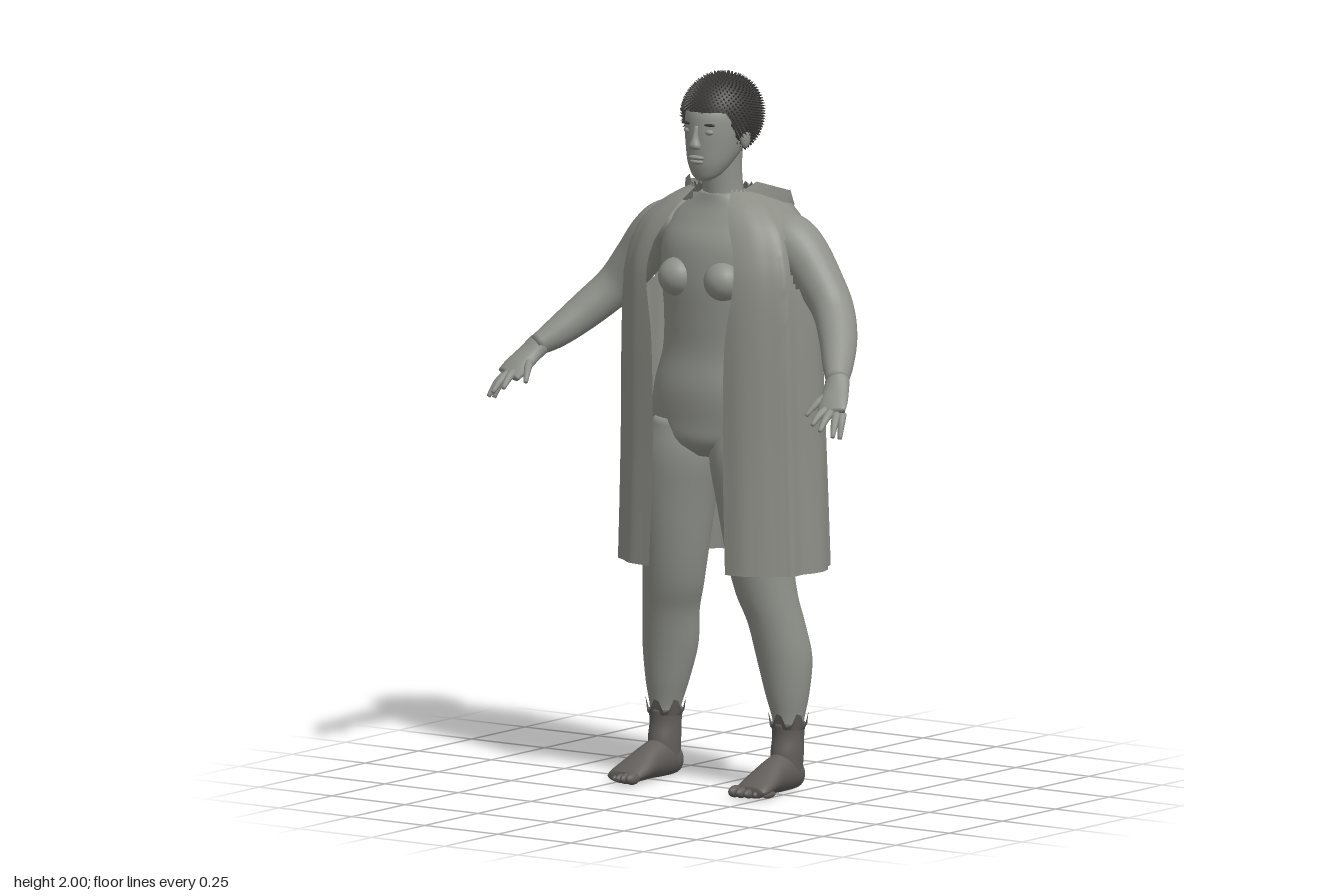
import * as THREE from 'three';
import { mergeGeometries } from 'three/addons/utils/BufferGeometryUtils.js';

const V3 = (x, y, z) => new THREE.Vector3(x, y, z);
const UP = V3(0, 1, 0), FRONT = V3(0, 0, 1);
const { lerp, smoothstep } = THREE.MathUtils;

const mat = (name, color, double) => {
  const m = new THREE.MeshStandardMaterial({ color });
  m.name = name;
  if (double) m.side = THREE.DoubleSide;
  return m;
};

// Two matching smooth curves through rows of numbers
const curves = rows => [0, 3].map(k => new THREE.CatmullRomCurve3(
  rows.map(r => V3(r[k], r[k + 1] ?? 0, r[k + 2] ?? 0)), false, 'catmullrom'));

function grid(points, index) {
  const g = new THREE.BufferGeometry();
  g.setAttribute('position', new THREE.Float32BufferAttribute(points, 3));
  g.setIndex(index);
  g.computeVertexNormals();
  return g;
}

// Closed skin over elliptical sections [x, y, z, radius across, radius along ref]
function loft(rows, { ref = FRONT, axis = null, n = 28, sub = 5 } = {}) {
  const [path, radii] = curves(rows), steps = (rows.length - 1) * sub;
  const pts = [], idx = [];
  for (let i = -1; i <= steps + 1; i++) {
    const t = Math.min(Math.max(i / steps, 0), 1);
    const c = path.getPoint(t), r = radii.getPoint(t);
    const T = axis ?? path.getTangent(t);
    const v = ref.clone().addScaledVector(T, -ref.dot(T)).normalize();
    const u = T.clone().cross(v);
    const k = i < 0 || i > steps ? 0.001 : 1;
    for (let j = 0; j < n; j++) {
      const a = j / n * Math.PI * 2;
      const p = c.clone().addScaledVector(u, k * r.x * Math.sin(a)).addScaledVector(v, k * r.y * Math.cos(a));
      pts.push(p.x, p.y, p.z);
    }
  }
  for (let i = 0; i < steps + 2; i++) for (let j = 0; j < n; j++) {
    const a = i * n + j, b = i * n + (j + 1) % n;
    idx.push(a, b, b + n, a, b + n, a + n);
  }
  return grid(pts, idx);
}

const flip = (rows, s) => rows.map(([x, ...rest]) => [x * s, ...rest]);
const ball = (x, y, z, rx, ry, rz, w = 16) =>
  new THREE.SphereGeometry(1, w, 12).scale(rx, ry, rz).translate(x, y, z);

// Draped cape, open at the front, with armholes and folds deepening to the hem
function capeGeometry() {
  // y, half width, half opening, front z, back z
  const [A, B] = curves([
    [0.62, 0.312, 0.13, 0.12, -0.25], [0.95, 0.303, 0.12, 0.115, -0.24], [1.25, 0.298, 0.125, 0.115, -0.225],
    [1.42, 0.29, 0.148, 0.11, -0.215], [1.51, 0.272, 0.14, 0.095, -0.21], [1.58, 0.24, 0.11, 0.07, -0.205],
    [1.63, 0.185, 0.085, 0.04, -0.2], [1.66, 0.135, 0.07, 0.01, -0.175], [1.675, 0.1, 0.06, -0.005, -0.14]]);
  const R = 64, C = 110, P = 0.75, pts = [], idx = [];
  for (let i = 0; i <= R; i++) {
    const a = A.getPoint(i / R), b = B.getPoint(i / R);
    const start = Math.asin(Math.pow(a.z / a.y, 1 / P));
    const depth = 0.012 * (1 - 0.8 * i / R);
    for (let j = 0; j <= C; j++) {
      const f = lerp(start, 2 * Math.PI - start, j / C);
      const s = Math.sin(f), c = Math.cos(f);
      const fold = 1 + depth / 0.25 * (Math.cos(11 * f) + 0.4 * Math.sin(17 * f + i * 0.03)) * (c < 0.4 ? 1 : 0.4);
      const mid = (b.x + b.y) / 2, rz = (b.x - b.y) / 2;
      const jag = i === R ? 0.008 * Math.sin(j * 1.7) : 0;
      pts.push(Math.sign(s) * Math.pow(Math.abs(s), P) * a.y * (1 + (fold - 1) * 0.4),
        a.x + jag, mid + Math.sign(c) * Math.pow(Math.abs(c), P) * rz * fold);
    }
  }
  const w = C + 1;
  for (let i = 0; i < R; i++) for (let j = 0; j < C; j++) {
    const a = i * w + j, [x, y, z] = pts.slice(a * 3, a * 3 + 3);
    const hole = Math.abs(x) > 0.17 && ((y - 1.49) / 0.12) ** 2 + ((z + 0.08) / 0.085) ** 2 < 1;
    if (!hole) idx.push(a, a + 1, a + w + 1, a, a + w + 1, a + w);
  }
  return grid(pts, idx);
}

// Rounded hair with a high front hairline, covered in short tufts
function hairGeometry() {
  const c = V3(0, 1.88, -0.057), r = V3(0.104, 0.112, 0.122);
  const limit = a => Math.acos((lerp(1.9, 1.785, smoothstep(Math.abs(a), 0.75, 1.35)) - c.y) / r.y);
  const at = (a, t) => V3(Math.sin(t) * Math.sin(a), Math.cos(t), Math.sin(t) * Math.cos(a));
  const pts = [], idx = [], N = 48, M = 16;
  for (let i = 0; i <= M; i++) for (let j = 0; j <= N; j++) {
    const a = (j / N * 2 - 1) * Math.PI;
    const p = at(a, limit(a) * (1 - i / M)).multiply(r).add(c);
    pts.push(p.x, p.y, p.z);
    if (i < M && j < N) {
      const k = i * (N + 1) + j;
      idx.push(k, k + 1, k + N + 2, k, k + N + 2, k + N + 1);
    }
  }
  const tufts = [];
  for (let i = 0; i < 1500; i++) {
    const t = Math.acos(1 - 2 * (i + 0.5) / 1500);
    const a = ((i * 2.39996) % (2 * Math.PI)) - Math.PI;
    if (t > limit(a)) continue;
    const d = at(a, t), p = d.clone().multiply(r).add(c);
    const cone = new THREE.ConeGeometry(0.0065, 0.02, 4);
    cone.deleteAttribute('uv');
    cone.applyQuaternion(new THREE.Quaternion().setFromUnitVectors(UP, d.add(V3(0, -0.25, 0)).normalize()));
    tufts.push(cone.translate(p.x, p.y, p.z));
  }
  return mergeGeometries([grid(pts, idx), ...tufts]);
}

export function createModel() {
  const model = new THREE.Group();
  model.name = 'figure';
  const skin = mat('skin grey', 0x8f918a), cloth = mat('cape grey', 0x8d8e86, true);
  const shoe = mat('foot dark grey', 0x625e5b, true), hair = mat('hair charcoal', 0x3b3937, true);
  const add = (name, geo, material) => {
    const m = new THREE.Mesh(geo, material);
    m.name = name;
    model.add(m);
    return m;
  };

  // Trunk, neck and head
  add('torso', loft([
    [0, 0.93, -0.035, 0.06, 0.07], [0, 0.97, -0.035, 0.17, 0.11], [0, 1.03, -0.04, 0.21, 0.12],
    [0, 1.12, -0.035, 0.2, 0.118], [0, 1.22, -0.04, 0.175, 0.108], [0, 1.32, -0.04, 0.17, 0.11],
    [0, 1.42, -0.045, 0.18, 0.118], [0, 1.52, -0.055, 0.187, 0.115], [0, 1.585, -0.065, 0.165, 0.092],
    [0, 1.63, -0.065, 0.115, 0.07], [0, 1.665, -0.062, 0.062, 0.058]], { axis: UP, n: 40 }), skin);
  add('neck', loft([[0, 1.6, -0.068, 0.065, 0.06], [0, 1.67, -0.06, 0.056, 0.057],
    [0, 1.73, -0.055, 0.054, 0.057], [0, 1.79, -0.055, 0.056, 0.06]], { axis: UP }), skin);
  add('head', loft([
    [0, 1.706, 0.032, 0.02, 0.018], [0, 1.722, 0.018, 0.042, 0.04], [0, 1.755, 0, 0.062, 0.066],
    [0, 1.8, -0.025, 0.077, 0.094], [0, 1.85, -0.037, 0.085, 0.106], [0, 1.9, -0.05, 0.086, 0.112],
    [0, 1.95, -0.057, 0.066, 0.08], [0, 1.975, -0.057, 0.03, 0.04]], { axis: UP, n: 36 }), skin);
  add('nose', loft([[0, 1.797, 0.072, 0.016, 0.01], [0, 1.808, 0.074, 0.018, 0.015],
    [0, 1.83, 0.07, 0.009, 0.012], [0, 1.862, 0.064, 0.007, 0.008]], { axis: UP, n: 14 }), skin);
  add('upperLip', ball(0, 1.773, 0.067, 0.026, 0.007, 0.011), skin);
  add('lowerLip', ball(0, 1.761, 0.065, 0.022, 0.007, 0.011), skin);
  add('hair', hairGeometry(), hair);
  add('cape', capeGeometry(), cloth);

  for (const s of [1, -1]) {
    const side = s > 0 ? 'left' : 'right';
    // Face details
    add(side + 'Eye', ball(s * 0.035, 1.845, 0.055, 0.015, 0.008, 0.01), skin);
    add(side + 'Eyebrow', ball(s * 0.036, 1.866, 0.057, 0.021, 0.004, 0.008), hair);
    add(side + 'Ear', ball(s * 0.087, 1.825, -0.045, 0.011, 0.032, 0.02), skin);
    add(side + 'Breast', ball(s * 0.078, 1.43, 0.045, 0.057, 0.055, 0.055, 24), skin);

    // Leg
    add(side + 'Leg', loft(flip([
      [0.21, 0.15, -0.076, 0.038, 0.042], [0.21, 0.2, -0.078, 0.043, 0.047], [0.205, 0.27, -0.08, 0.06, 0.063],
      [0.195, 0.37, -0.08, 0.076, 0.08], [0.18, 0.47, -0.062, 0.078, 0.082], [0.16, 0.55, -0.045, 0.086, 0.085],
      [0.145, 0.65, -0.035, 0.093, 0.093], [0.135, 0.8, -0.03, 0.11, 0.108], [0.115, 0.93, -0.03, 0.114, 0.115],
      [0.1, 1.03, -0.035, 0.09, 0.1]], s), { axis: UP }), skin);

    // Dark foot with toes and a ragged ankle edge
    add(side + 'Foot', loft(flip([
      [0.208, 0.035, -0.122, 0.022, 0.022], [0.208, 0.046, -0.105, 0.038, 0.044], [0.21, 0.055, -0.05, 0.042, 0.055],
      [0.212, 0.05, 0, 0.044, 0.049], [0.214, 0.036, 0.055, 0.052, 0.035], [0.217, 0.024, 0.1, 0.054, 0.023],
      [0.217, 0.02, 0.12, 0.048, 0.014]], s), { ref: UP, axis: FRONT }), shoe);
    add(side + 'Ankle', loft(flip([
      [0.209, 0.04, -0.072, 0.04, 0.048], [0.21, 0.1, -0.072, 0.043, 0.052],
      [0.21, 0.15, -0.077, 0.043, 0.047], [0.21, 0.19, -0.078, 0.046, 0.05]], s), { axis: UP }), shoe);
    for (let i = 0; i < 5; i++) {
      const r = 0.017 - 0.0018 * i;
      add(side + 'Toe', ball(s * (0.176 + i * 0.0215), r + 0.003, 0.124 - i * i * 0.0025, r * 0.85, r, 0.029), shoe);
    }
    const rag = new THREE.CylinderGeometry(0.056, 0.046, 0.045, 24, 1, true);
    const pos = rag.attributes.position;
    for (let i = 0; i < pos.count; i++)
      if (pos.getY(i) > 0) pos.setY(i, [0.025, 0.02, -0.012, -0.006][i % 4]);
    rag.computeVertexNormals();
    add(side + 'AnkleEdge', rag.translate(s * 0.21, 0.195, -0.078), shoe);

    // Arm bent forward at the elbow
    add(side + 'Arm', loft(flip([
      [0.13, 1.555, -0.075, 0.06, 0.07], [0.2, 1.545, -0.085, 0.074, 0.078], [0.25, 1.51, -0.086, 0.074, 0.075],
      [0.31, 1.44, -0.083, 0.066, 0.066], [0.37, 1.365, -0.068, 0.058, 0.06], [0.43, 1.295, -0.01, 0.052, 0.054],
      [0.48, 1.235, 0.06, 0.042, 0.043], [0.515, 1.2, 0.112, 0.029, 0.031]], s)), skin);

    // Hand with spread fingers
    const across = V3(1, 0, 0);
    add(side + 'Hand', loft(flip([
      [0.51, 1.207, 0.102, 0.03, 0.034], [0.525, 1.18, 0.13, 0.024, 0.038],
      [0.54, 1.15, 0.165, 0.02, 0.044], [0.553, 1.125, 0.192, 0.014, 0.042]], s), { ref: across, n: 18 }), skin);
    const fingers = [[0.577, 1.125, 0.172, 0.592, 1.06, 0.205], [0.568, 1.125, 0.186, 0.589, 1.068, 0.235],
      [0.553, 1.13, 0.192, 0.56, 1.085, 0.255], [0.535, 1.135, 0.19, 0.529, 1.098, 0.248],
      [0.512, 1.17, 0.145, 0.48, 1.115, 0.21]];
    for (const [x, y, z, X, Y, Z] of fingers)
      add(side + 'Finger', loft(flip([[x, y, z, 0.012, 0.012],
        [(x + X) / 2, (y + Y) / 2 + 0.006, (z + Z) / 2, 0.0105, 0.0105],
        [X, Y, Z, 0.006, 0.006]], s), { ref: across, n: 10 }), skin);

    // Upturned collar fold on the shoulder
    const fold = [[0.06, 1.645, 0], [0.075, 1.665, -0.02], [0.105, 1.63, -0.04], [0.115, 1.7, -0.06],
      [0.165, 1.615, -0.1], [0.18, 1.672, -0.13], [0.15, 1.62, -0.19], [0.13, 1.665, -0.195]];
    add(side + 'Collar', grid(flip(fold, s).flat(),
      [0, 2, 1, 1, 2, 3, 2, 4, 3, 3, 4, 5, 4, 6, 5, 5, 6, 7]), cloth);
  }
  return model;
}
